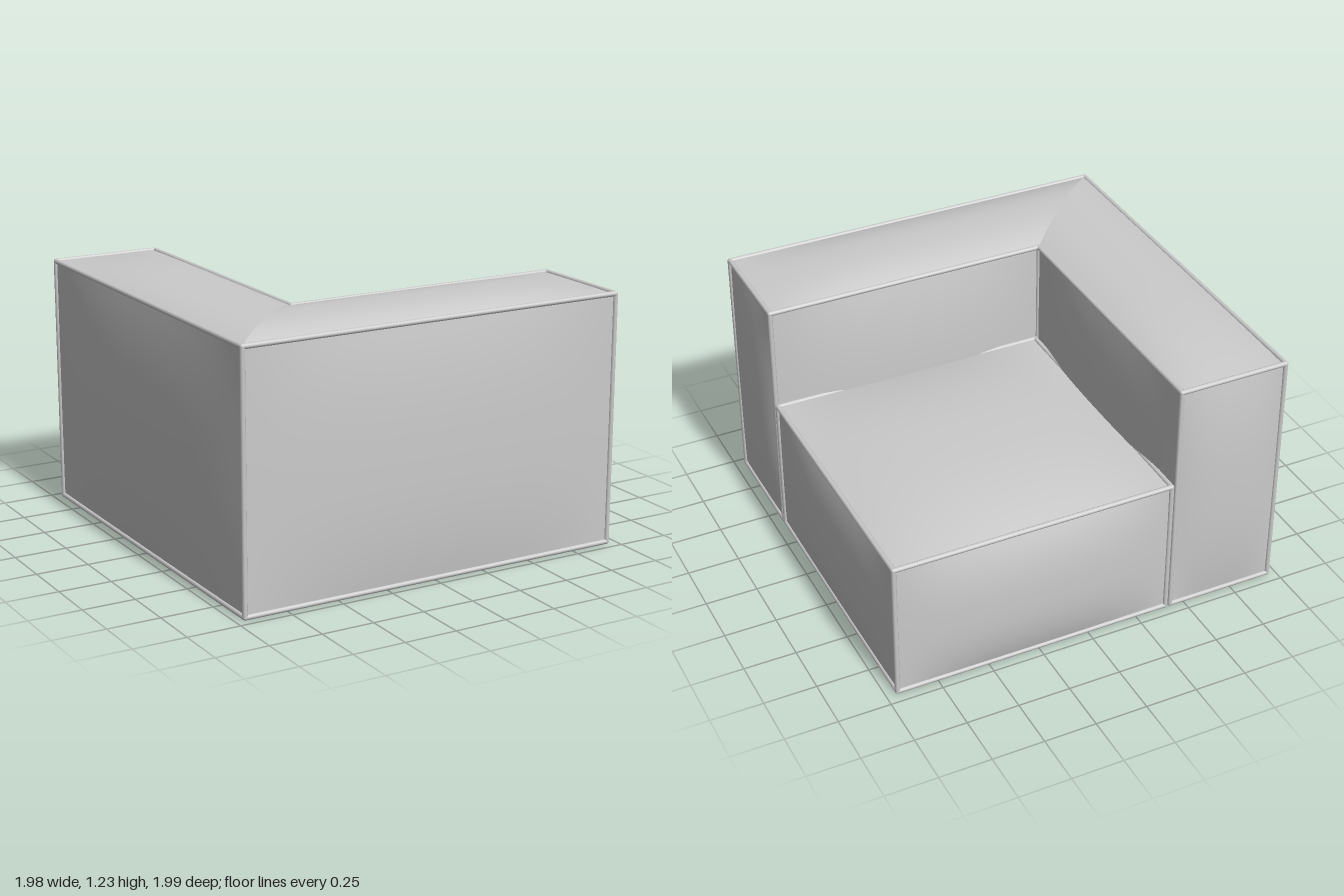
import * as THREE from 'three';
import { mergeGeometries } from 'three/addons/utils/BufferGeometryUtils.js';

const SEG = 20;
const PIPE = 0.012;
const material = new THREE.MeshStandardMaterial({ color: 0xcccccc });

const mix = (a, b, t) => a + (b - a) * (t + 1) / 2;
const fall = (t) => 1 - Math.abs(t) ** 2.5;

// Upholstered block: place() maps the cube -1..1 to space, puff gives each face's swelling.
// A mitred block has an open -x end and keeps its top swelling up to that end.
function cushion(place, puff, mitred, mirrored) {
  const geo = new THREE.BoxGeometry(2, 2, 2, SEG, SEG, SEG);
  const pos = geo.attributes.position, nor = geo.attributes.normal;
  const n = new THREE.Vector3();
  for (let i = 0; i < pos.count; i++) {
    const a = pos.getX(i), b = pos.getY(i), c = pos.getZ(i);
    n.fromBufferAttribute(nor, i);
    const p = place(a, b, c);
    if (n.x) p.x += n.x * (n.x > 0 ? puff.px : puff.nx) * fall(b) * fall(c);
    if (n.y) {
      const along = mitred && a < 0 ? 1 : fall(a);
      p.y += n.y * (n.y > 0 ? puff.py : puff.ny) * along * fall(c);
    }
    if (n.z) p.z += n.z * (n.z > 0 ? puff.pz : puff.nz) * fall(a) * fall(b);
    if (mirrored) p.set(-p.z, p.y, -p.x);
    pos.setXYZ(i, p.x, p.y, p.z);
  }
  let index = Array.from(geo.index.array);
  const perFace = SEG * SEG * 6;
  if (mitred) index.splice(perFace, perFace);
  if (mirrored) index = index.reverse();
  geo.clearGroups();
  geo.setIndex(index);
  geo.computeVertexNormals();
  return geo;
}

// Welt piping along all block edges, with ball joints at the corners
function piping(place, mitred, mirrored) {
  const corner = (a, b, c) => {
    const p = place(a, b, c);
    return mirrored ? new THREE.Vector3(-p.z, p.y, -p.x) : p;
  };
  const parts = [];
  const rod = (p, q) => {
    const d = q.clone().sub(p);
    const g = new THREE.CylinderGeometry(PIPE, PIPE, d.length(), 10, 1, true);
    g.applyQuaternion(new THREE.Quaternion().setFromUnitVectors(new THREE.Vector3(0, 1, 0), d.normalize()));
    const m = p.clone().add(q).multiplyScalar(0.5);
    parts.push(g.translate(m.x, m.y, m.z));
  };
  for (const s of [-1, 1]) for (const t of [-1, 1]) {
    rod(corner(-1, s, t), corner(1, s, t));
    rod(corner(s, -1, t), corner(s, 1, t));
    if (!(mitred && s < 0)) rod(corner(s, t, -1), corner(s, t, 1));
    for (const r of [-1, 1]) {
      const p = corner(r, s, t);
      parts.push(new THREE.SphereGeometry(PIPE, 10, 8).translate(p.x, p.y, p.z));
    }
  }
  return mergeGeometries(parts);
}

export function createModel() {
  const model = new THREE.Group();
  model.name = 'cornerSofaModule';

  const addBlock = (name, place, puff, mitred = false, mirrored = false) => {
    const block = new THREE.Group();
    block.name = name;
    const body = new THREE.Mesh(cushion(place, puff, mitred, mirrored), material);
    body.name = name + 'Upholstery';
    const welt = new THREE.Mesh(piping(place, mitred, mirrored), material);
    welt.name = name + 'Piping';
    block.add(body, welt);
    model.add(block);
  };

  // Two equal walls meeting in a diagonal mitre at the corner
  const wallPlace = (a, b, c) => {
    const z = mix(0.43, 0.955, c);
    return new THREE.Vector3(mix(-z, 0.945, a), mix(0.025, 1.205, b), z);
  };
  const wallPuff = { px: 0.037, nx: 0, py: 0.042, ny: 0.008, pz: 0.036, nz: 0.045 };
  addBlock('frontWall', wallPlace, wallPuff, true);
  addBlock('sideWall', wallPlace, wallPuff, true, true);

  // Seat block tucked into the corner
  const seatPlace = (a, b, c) =>
    new THREE.Vector3(mix(-0.405, 0.945, a), mix(0.025, 0.705, b), mix(-0.945, 0.405, c));
  addBlock('seat', seatPlace, { px: 0.04, nx: 0.01, py: 0.062, ny: 0.012, pz: 0.01, nz: 0.05 });

  return model;
}
